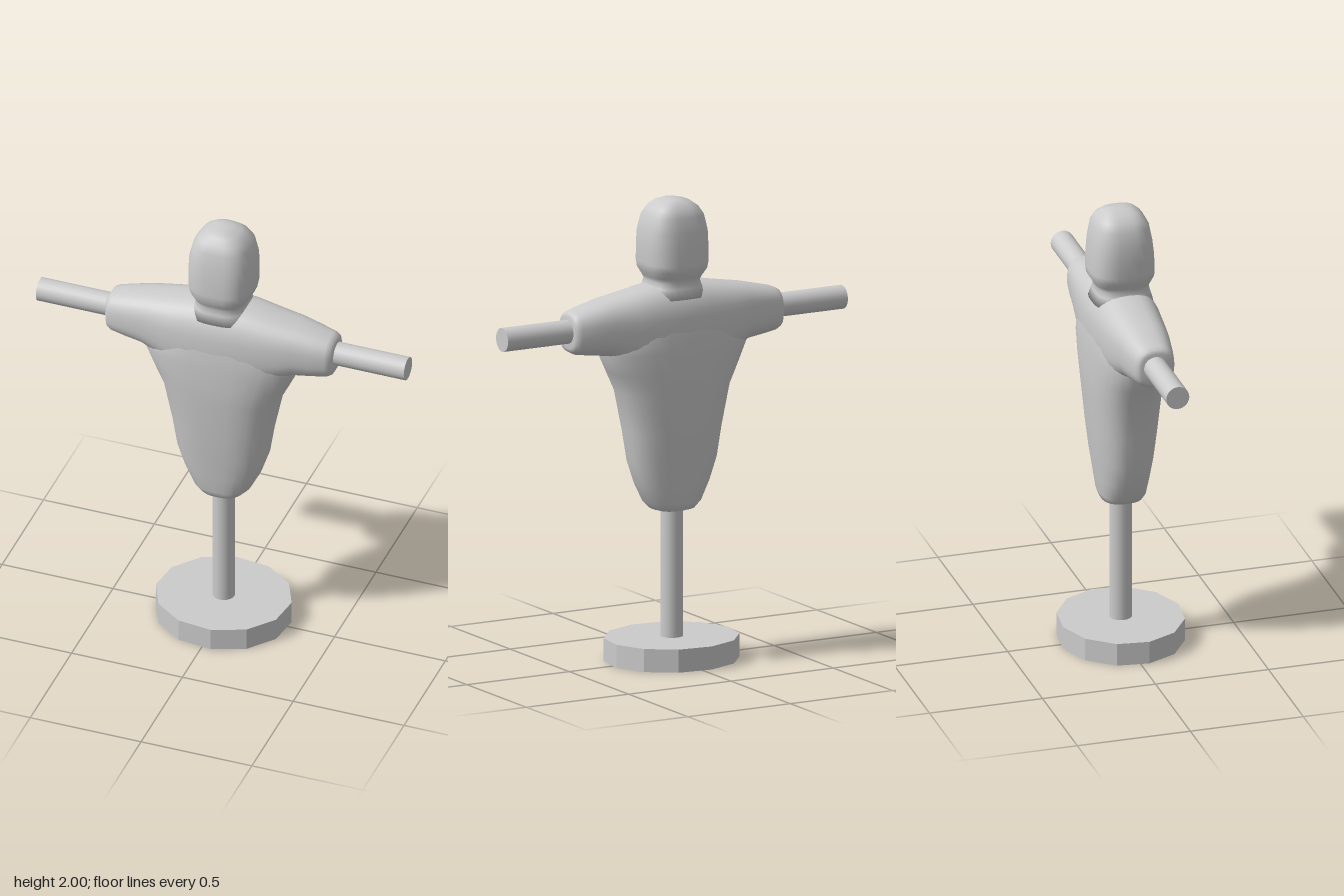
import * as THREE from 'three';

const material = new THREE.MeshStandardMaterial({ color: 0xcccccc });

// Closed skin over rounded sections stacked along y.
// Row: [height, half width in x, half depth in z, centre x, centre z]
function loft(rows, exponent, sides = 32) {
  const pos = [], index = [];
  const round = (v) => Math.sign(v) * Math.abs(v) ** (2 / exponent);
  for (const [y, w, d, cx = 0, cz = 0] of rows) {
    for (let i = 0; i < sides; i++) {
      const a = (i / sides) * Math.PI * 2;
      pos.push(cx + w * round(Math.cos(a)), y, cz - d * round(Math.sin(a)));
    }
  }
  const last = rows.length - 1;
  for (let j = 0; j < last; j++) {
    for (let i = 0; i < sides; i++) {
      const k = (i + 1) % sides, a = j * sides, b = a + sides;
      index.push(a + i, a + k, b + i, a + k, b + k, b + i);
    }
  }
  // End caps
  const base = pos.length / 3;
  for (const j of [0, last]) pos.push(rows[j][3] ?? 0, rows[j][0], rows[j][4] ?? 0);
  for (let i = 0; i < sides; i++) {
    const k = (i + 1) % sides;
    index.push(base, k, i, base + 1, last * sides + i, last * sides + k);
  }
  const geometry = new THREE.BufferGeometry();
  geometry.setAttribute('position', new THREE.Float32BufferAttribute(pos, 3));
  geometry.setIndex(index);
  geometry.computeVertexNormals();
  return geometry;
}

export function createModel() {
  const group = new THREE.Group();
  const add = (name, geometry) => {
    const mesh = new THREE.Mesh(geometry, material);
    mesh.name = name;
    group.add(mesh);
    return mesh;
  };

  // Twelve-sided base disc with flat facets
  const disc = new THREE.CylinderGeometry(0.295, 0.295, 0.1, 12, 1, false, THREE.MathUtils.degToRad(8));
  disc.scale(1, 1, 0.27 / 0.295);
  const facets = disc.toNonIndexed();
  facets.computeVertexNormals();
  add('base', facets).position.y = 0.05;

  // Upright post and cross pole
  add('post', new THREE.CylinderGeometry(0.048, 0.048, 0.65, 24)).position.y = 0.42;
  const pole = add('crossPole', new THREE.CylinderGeometry(0.051, 0.051, 1.66, 24));
  pole.rotation.z = Math.PI / 2;
  pole.position.set(0, 1.475, -0.003);

  // Torso, tapering down to the post
  add('torso', loft([
    [0.652, 0.07, 0.065], [0.66, 0.095, 0.088], [0.69, 0.125, 0.1], [0.77, 0.166, 0.109],
    [0.87, 0.2, 0.122], [1.0, 0.22, 0.137], [1.18, 0.258, 0.152], [1.27, 0.302, 0.155],
    [1.36, 0.345, 0.154], [1.42, 0.34, 0.151], [1.5, 0.27, 0.143], [1.57, 0.19, 0.128],
    [1.62, 0.12, 0.105],
  ], 2.5));

  // Shoulders and sleeves, running along x: [x, lowest y, highest y, half depth]
  const half = [
    [0, 1.25, 1.642, 0.149], [0.12, 1.27, 1.636, 0.145], [0.22, 1.3, 1.617, 0.134],
    [0.34, 1.355, 1.597, 0.116], [0.42, 1.365, 1.578, 0.102], [0.485, 1.375, 1.562, 0.088],
    [0.503, 1.385, 1.553, 0.079], [0.511, 1.402, 1.538, 0.064],
  ];
  const across = [...half.slice(1).reverse().map(([x, ...r]) => [-x, ...r]), ...half];
  const sleeves = loft(across.map(([x, lo, hi, d]) => [x, (hi - lo) / 2, d, -(hi + lo) / 2, 0]), 2.6);
  sleeves.rotateZ(-Math.PI / 2);
  add('shoulders', sleeves);

  // Neck and head
  add('head', loft([
    [1.58, 0.14, 0.13], [1.625, 0.117, 0.118], [1.65, 0.108, 0.113], [1.67, 0.117, 0.122],
    [1.7, 0.136, 0.138, 0, -0.003], [1.73, 0.142, 0.14, 0, -0.004], [1.8, 0.143, 0.137, 0, -0.004],
    [1.865, 0.141, 0.13, 0, -0.005], [1.93, 0.125, 0.119, 0, -0.006], [1.965, 0.102, 0.1, 0, -0.006],
    [1.988, 0.07, 0.075, 0, -0.006], [1.998, 0.032, 0.05, 0, -0.006], [2.0, 0.01, 0.02, 0, -0.006],
  ], 2.8));

  return group;
}
